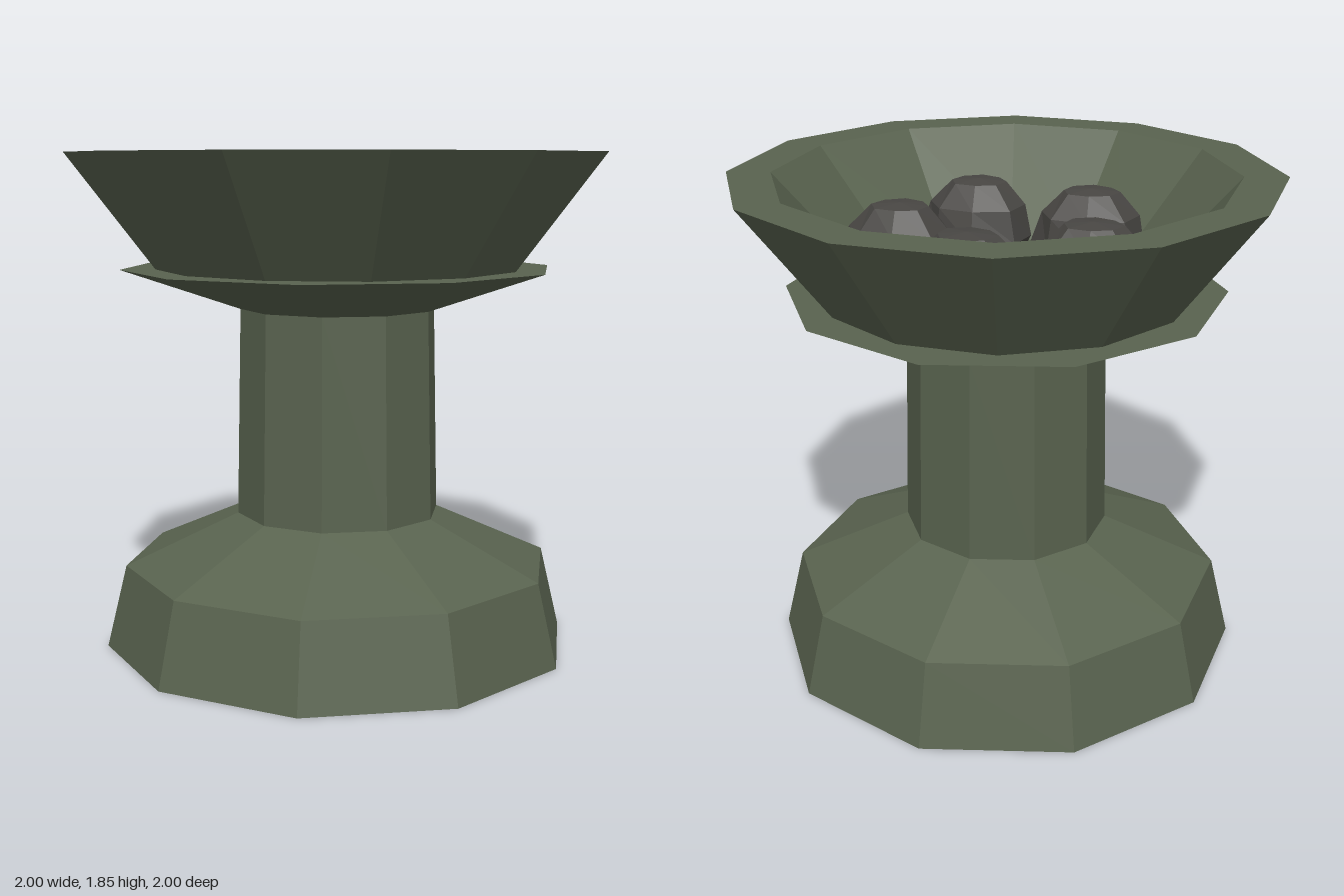
import * as THREE from 'three';

const stoneMaterial = new THREE.MeshStandardMaterial({ color: 0x59634f, flatShading: true });
const coalMaterial = new THREE.MeshStandardMaterial({ color: 0x484643, flatShading: true });

// Faceted turned part: profile of [radius, height] pairs from bottom to top, a corner on the x axis
function turned(name, profile, sides, material) {
  const points = profile.map(([r, y]) => new THREE.Vector2(r, y));
  const mesh = new THREE.Mesh(new THREE.LatheGeometry(points, sides, Math.PI / 2), material);
  mesh.name = name;
  return mesh;
}

export function createModel() {
  const model = new THREE.Group();
  model.name = 'brazier';

  // Ten-sided foot, column and flared collar
  model.add(turned('foot', [[0, 0], [0.885, 0], [0.81, 0.31], [0.385, 0.5], [0, 0.5]], 10, stoneMaterial));
  model.add(turned('column', [[0.385, 0.5], [0.368, 1.275]], 10, stoneMaterial));
  model.add(turned('collar', [[0, 1.275], [0.368, 1.275], [0.81, 1.425], [0, 1.425]], 10, stoneMaterial));

  // Twelve-sided bowl: outer wall, flat rim, inner wall and floor
  model.add(turned('bowl', [[0, 1.42], [0.675, 1.42], [1, 1.85], [0.84, 1.85], [0.5, 1.47], [0, 1.47]], 12, stoneMaterial));

  // Five rough coals in a ring, their rings of corners nudged by a fixed wave
  const coals = new THREE.Group();
  coals.name = 'coals';
  const profile = [[0, 1.43], [0.15, 1.43], [0.205, 1.53], [0.175, 1.65], [0.1, 1.735], [0, 1.745]];
  for (let i = 0; i < 5; i++) {
    const coal = turned('coal', profile, 8, coalMaterial);
    const pos = coal.geometry.attributes.position;
    for (let v = 0; v < pos.count; v++) {
      const x = pos.getX(v), y = pos.getY(v), z = pos.getZ(v);
      const angle = Math.atan2(z, x);
      const bump = 1 + 0.06 * Math.sin(3 * angle + 9 * y + i * 0.4);
      pos.setXYZ(v, x * bump * 1.05, y, z * bump * 0.88);
    }
    coal.geometry.computeVertexNormals();
    const a = (i / 5) * Math.PI * 2;
    coal.position.set(0.38 * Math.cos(a), 0, 0.38 * Math.sin(a));
    coal.rotation.y = -0.12;
    coals.add(coal);
  }
  model.add(coals);

  return model;
}
